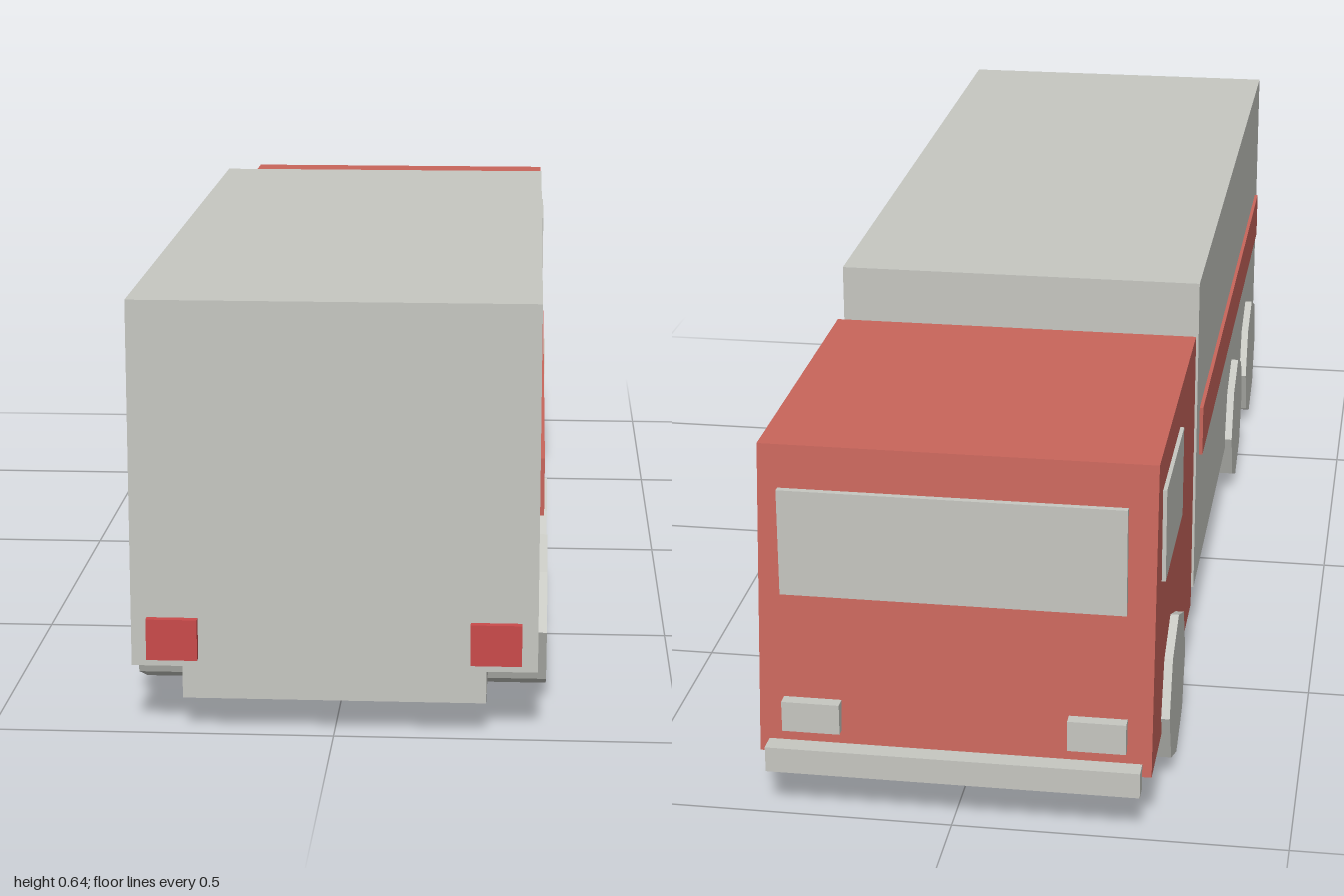
import * as THREE from 'three';

export function createModel() {
  const truck = new THREE.Group();
  truck.name = 'truck';

  const material = (name, color) => {
    const m = new THREE.MeshStandardMaterial({ color, flatShading: true });
    m.name = name;
    return m;
  };
  const grey = material('light grey', 0xc6c7c1);
  const red = material('cab red', 0xc8655b);
  const lampRed = material('tail light red', 0xca4a4a);

  const add = (name, geometry, mat) => {
    const mesh = new THREE.Mesh(geometry, mat);
    mesh.name = name;
    truck.add(mesh);
    return mesh;
  };
  // Box given by its limits on each axis
  const box = (name, mat, [x0, x1], [y0, y1], [z0, z1]) =>
    add(name, new THREE.BoxGeometry(x1 - x0, y1 - y0, z1 - z0), mat)
      .position.set((x0 + x1) / 2, (y0 + y1) / 2, (z0 + z1) / 2);

  // Chassis and cargo body
  box('chassis', grey, [-0.22, 0.22], [0.052, 0.1], [-0.94, 0.988]);
  box('cargoBody', grey, [-0.294, 0.294], [0.1, 0.639], [-0.333, 0.988]);

  // Cab with a sloping nose, extruded across the width
  const profile = new THREE.Shape([
    [-0.38, 0.09], [-0.38, 0.565], [-0.922, 0.565], [-0.972, 0.09],
  ].map(([z, y]) => new THREE.Vector2(z, y)));
  const cab = new THREE.ExtrudeGeometry(profile, { depth: 0.588, bevelEnabled: false });
  cab.translate(0, 0, -0.294);
  cab.rotateY(-Math.PI / 2);
  add('cab', cab, red);

  // Nose fittings
  box('windshield', grey, [-0.255, 0.255], [0.35, 0.515], [-0.974, -0.964]);
  box('bumper', grey, [-0.28, 0.28], [0.07, 0.11], [-1, -0.97]);

  // Parts repeated on both sides
  for (const [side, s] of [['left', 1], ['right', -1]]) {
    const span = (a, b) => (s > 0 ? [a, b] : [-b, -a]);
    box(side + 'Stripe', red, span(0.292, 0.3), [0.321, 0.405], [-0.283, 0.94]);
    box(side + 'Window', grey, span(0.292, 0.3), [0.36, 0.505], [-0.87, -0.622]);
    box(side + 'Headlight', grey, span(0.17, 0.257), [0.13, 0.178], [-0.982, -0.962]);
    box(side + 'TailLight', lampRed, span(0.197, 0.271), [0.112, 0.173], [0.986, 1]);

    // Eight-sided wheels
    ['front', 'middle', 'rear'].forEach((place, i) => {
      const wheel = new THREE.CylinderGeometry(0.118, 0.118, 0.097, 8);
      wheel.rotateZ(Math.PI / 2);
      add(side + ' ' + place + ' wheel', wheel, grey)
        .position.set(s * 0.2585, 0.12, [-0.727, 0.402, 0.745][i]);
    });
  }
  return truck;
}
